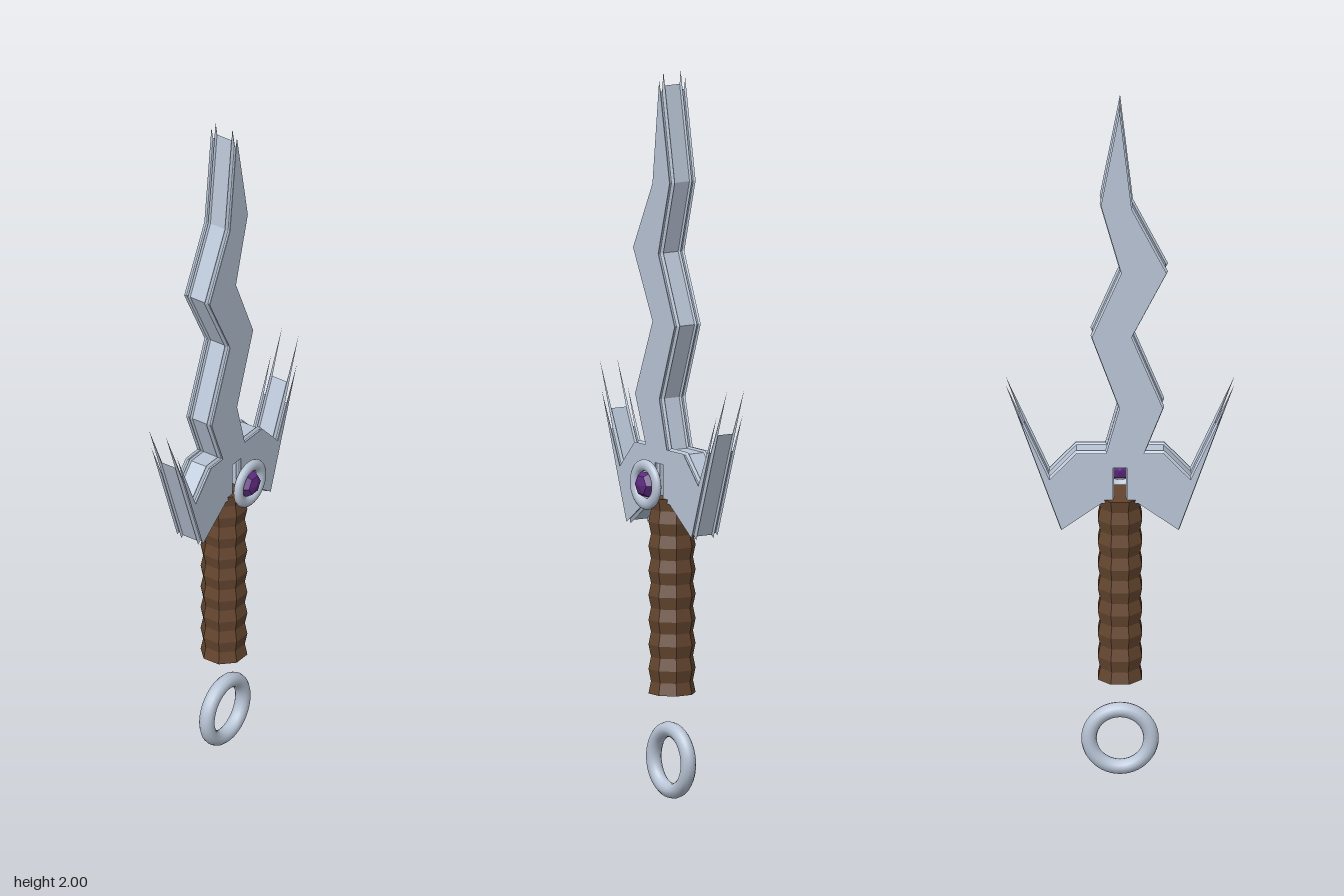
import * as THREE from 'three';

const steel = new THREE.MeshStandardMaterial({ color: 0xb9c5d6 });
const bladeSteel = new THREE.MeshStandardMaterial({ color: 0xb9c5d6, flatShading: true, side: THREE.DoubleSide });
const leather = new THREE.MeshStandardMaterial({ color: 0x65462f, flatShading: true });
const purple = new THREE.MeshStandardMaterial({ color: 0x5e2a80, flatShading: true });

const MID_Z = -0.025;

// Counter-clockwise outline: wavy blade, swept guard prongs and a slot above the grip
const outline = [
  [0, 2], [-0.035, 1.69], [-0.13, 1.5], [-0.035, 1.31], [-0.12, 1.1], [-0.07, 0.97],
  [-0.12, 0.97], [-0.19, 0.895], [-0.31, 1.165], [-0.16, 0.735], [-0.05, 0.815],
  [-0.016, 0.815], [-0.016, 0.92], [0.016, 0.92], [0.016, 0.815],
  [0.05, 0.815], [0.16, 0.735], [0.31, 1.165], [0.19, 0.895], [0.12, 0.97],
  [0.04, 0.97], [0.005, 1.1], [0.08, 1.31], [0, 1.5], [0.055, 1.7],
].map(([x, y]) => new THREE.Vector2(x, y));

// Outline moved inwards by d with true mitres
function inset(points, d) {
  const n = points.length;
  const normal = (a, b) => new THREE.Vector2(a.y - b.y, b.x - a.x).normalize();
  return points.map((p, i) => {
    const n1 = normal(points[(i + n - 1) % n], p);
    const n2 = normal(p, points[(i + 1) % n]);
    const k = d / (1 + n1.dot(n2));
    return p.clone().addScaledVector(n1.add(n2), k);
  });
}

// Stacks inset outlines along z and caps both ends
function stackGeometry(points, layers) {
  const rings = layers.map(([z, d]) => inset(points, d).map((p) => new THREE.Vector3(p.x, p.y, z)));
  const pos = [];
  const tri = (...corners) => corners.forEach((v) => pos.push(v.x, v.y, v.z));
  for (let k = 0; k < rings.length - 1; k++) {
    const a = rings[k], b = rings[k + 1];
    for (let i = 0; i < a.length; i++) {
      const j = (i + 1) % a.length;
      tri(b[i], b[j], a[j]);
      tri(b[i], a[j], a[i]);
    }
  }
  const front = rings[0], back = rings[rings.length - 1];
  for (const [a, b, c] of THREE.ShapeUtils.triangulateShape(points, [])) {
    tri(front[a], front[b], front[c]);
    tri(back[a], back[c], back[b]);
  }
  const geometry = new THREE.BufferGeometry();
  geometry.setAttribute('position', new THREE.Float32BufferAttribute(pos, 3));
  geometry.computeVertexNormals();
  return geometry;
}

export function createModel() {
  const model = new THREE.Group();
  const add = (name, geometry, material, x, y, z) => {
    const mesh = new THREE.Mesh(geometry, material);
    mesh.name = name;
    mesh.position.set(x, y, z);
    model.add(mesh);
    return mesh;
  };

  // Blade and guard: thin flanges with grooves between them
  const half = [[0.0425, 0.0034], [0.038, 0.008], [0.033, 0.008], [0.028, 0], [0.024, 0.0057]];
  const layers = [...half, ...half.map(([z, d]) => [-z, d]).reverse()];
  add('bladeAndGuard', stackGeometry(outline, layers), bladeSteel, 0, 0, MID_Z);

  // Grip: eight-sided with soft ridges
  const ridges = 8, steps = ridges * 4;
  const profile = [new THREE.Vector2(0, 0.29)];
  for (let i = 0; i <= steps; i++) {
    const t = i / steps;
    const r = 0.0615 + 0.0035 * Math.cos(t * ridges * Math.PI * 2);
    profile.push(new THREE.Vector2(r, 0.29 + 0.54 * t));
  }
  profile.push(new THREE.Vector2(0, 0.83));
  add('grip', new THREE.LatheGeometry(profile, 8, Math.PI / 8), leather, 0, 0, MID_Z);

  // Gem and its ring setting in front of the guard
  const setting = add('gemSetting', new THREE.TorusGeometry(0.053, 0.016, 12, 40), steel, 0, 0.87, 0.061);
  setting.scale.z = 0.75;
  const gem = new THREE.SphereGeometry(0.039, 6, 4);
  gem.rotateX(Math.PI / 2);
  gem.scale(1, 1, 0.64);
  add('gem', gem, purple, 0, 0.87, 0.06);

  // Pommel ring hanging below the grip
  add('pommelRing', new THREE.TorusGeometry(0.084, 0.021, 12, 48), steel, 0, 0.105, -0.022);

  return model;
}
